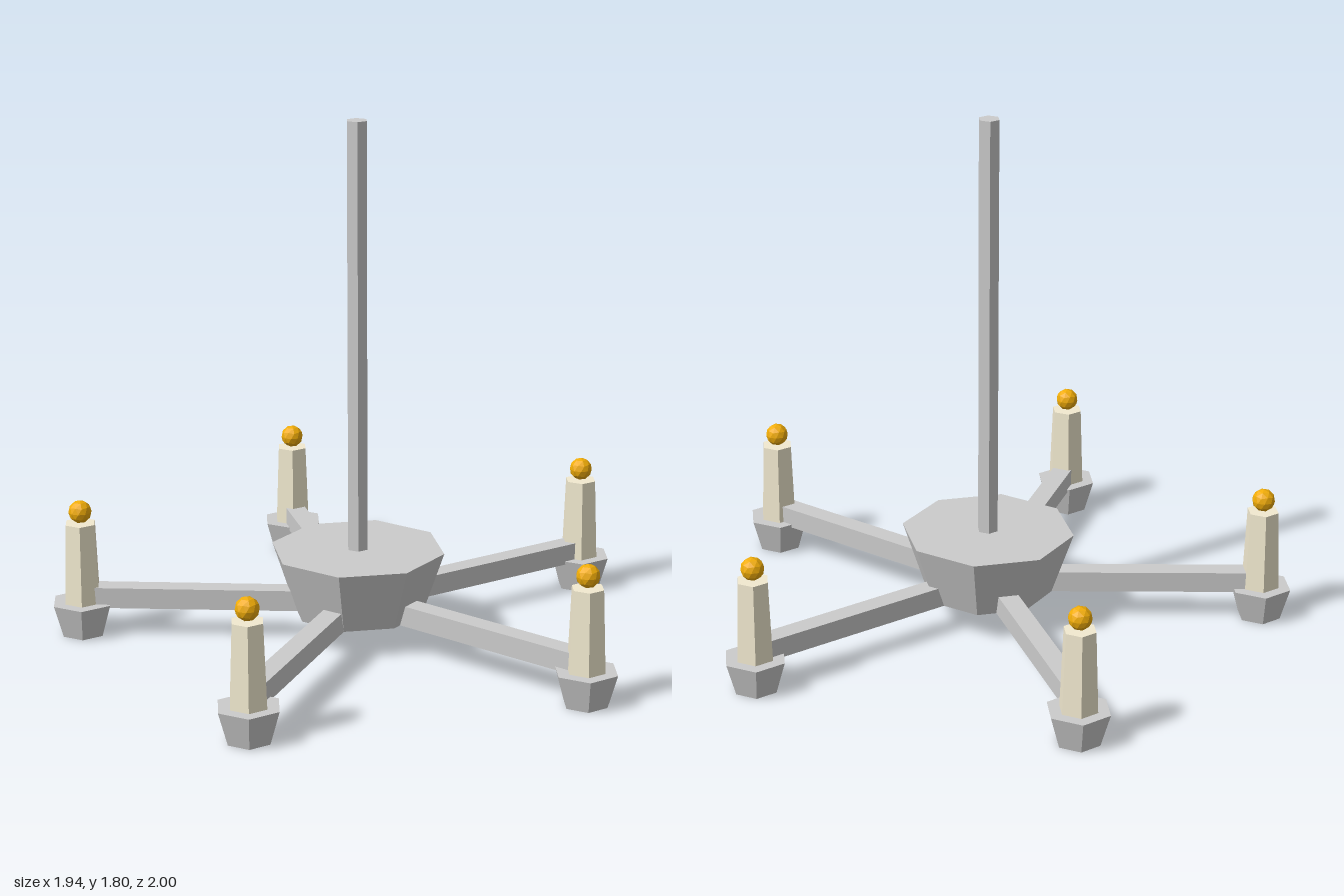
import * as THREE from 'three';

const ARMS = 5;
const REACH = 0.95; // distance from the hub axis to each candle
const HUB_X = -0.09;

const metal = new THREE.MeshStandardMaterial({ color: 0xcccccc, flatShading: true });
const wax = new THREE.MeshStandardMaterial({ color: 0xf2ead0, flatShading: true });
const gold = new THREE.MeshStandardMaterial({ color: 0xf0ac08, flatShading: true });

// Tapered prism between two heights, with a corner pointing along x
function prism(name, rTop, rBottom, y0, y1, sides, material) {
  const geometry = new THREE.CylinderGeometry(rTop, rBottom, y1 - y0, sides);
  geometry.rotateY(Math.PI / 2);
  geometry.translate(0, (y0 + y1) / 2, 0);
  const mesh = new THREE.Mesh(geometry, material);
  mesh.name = name;
  return mesh;
}

// Faceted ball with a corner at the top
function flameBall(radius, y) {
  const geometry = new THREE.IcosahedronGeometry(radius, 1);
  geometry.rotateZ(Math.atan(2 / (1 + Math.sqrt(5))));
  const mesh = new THREE.Mesh(geometry, gold);
  mesh.position.y = y;
  mesh.name = 'flame';
  return mesh;
}

export function createModel() {
  const model = new THREE.Group();
  model.name = 'chandelier';

  const frame = new THREE.Group();
  frame.name = 'frame';
  frame.position.x = HUB_X;
  model.add(frame);

  // Central bowl and hanging rod
  frame.add(prism('hub', 0.3, 0.225, 0.104, 0.324, 8, metal));
  frame.add(prism('rod', 0.037, 0.037, 0.3, 1.804, 6, metal));

  for (let i = 0; i < ARMS; i++) {
    const angle = (i / ARMS) * Math.PI * 2;

    // Arm from inside the hub to the candle's axis
    const inner = 0.19;
    const arm = new THREE.Mesh(new THREE.BoxGeometry(REACH - inner, 0.072, 0.07), metal);
    arm.geometry.translate((REACH + inner) / 2, 0.14, 0);
    arm.rotation.y = angle;
    arm.name = 'arm';
    frame.add(arm);

    // Candle holders all keep the same orientation
    const holder = new THREE.Group();
    holder.name = 'candleHolder';
    holder.position.set(Math.cos(angle) * REACH, 0, -Math.sin(angle) * REACH);
    holder.add(prism('cup', 0.111, 0.077, 0, 0.116, 6, metal));
    holder.add(prism('candle', 0.056, 0.068, 0.1, 0.4, 6, wax));
    holder.add(flameBall(0.04, 0.44));
    frame.add(holder);
  }

  return model;
}
